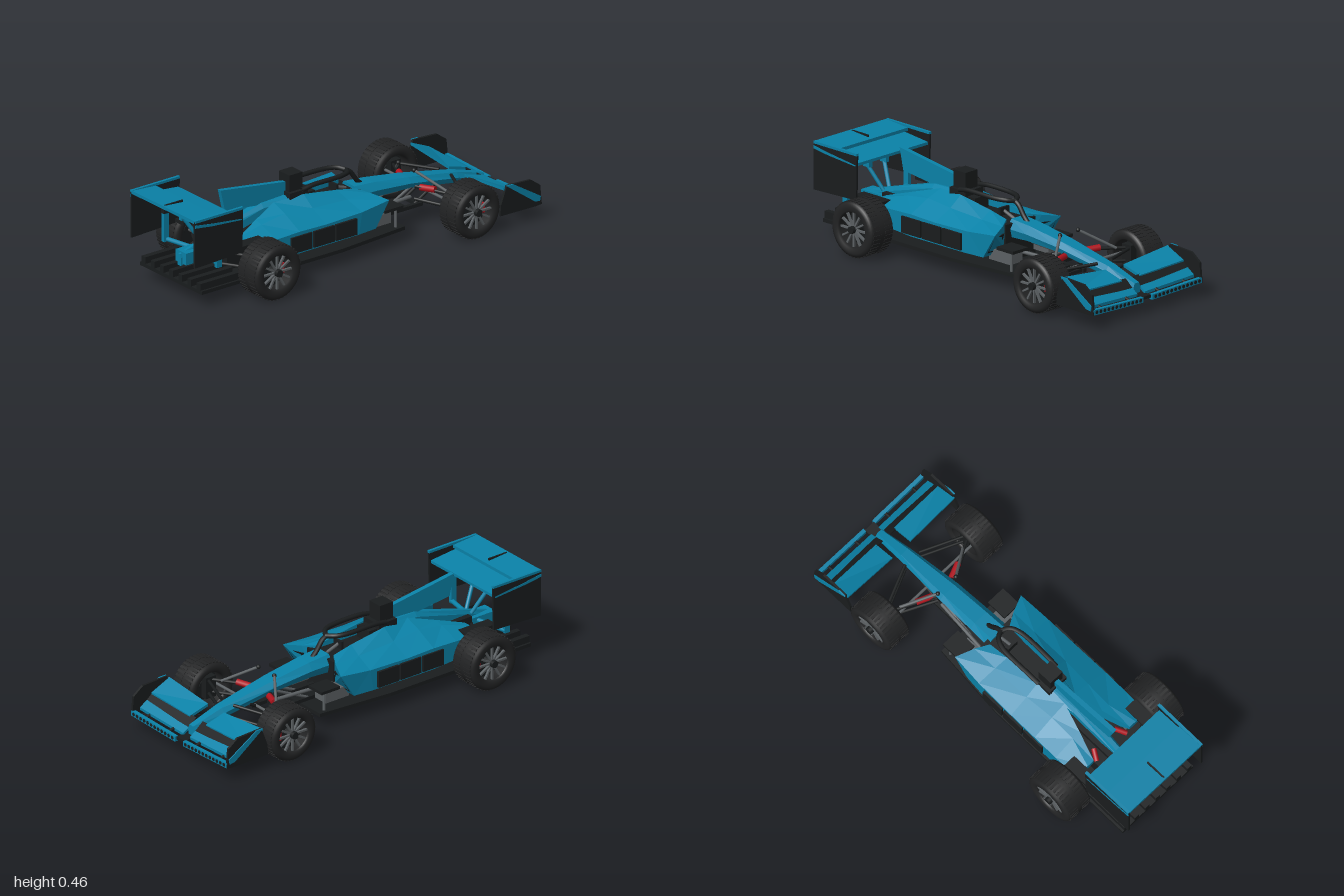
import * as THREE from 'three';
import { mergeGeometries } from 'three/addons/utils/BufferGeometryUtils.js';

const mat = (color) => new THREE.MeshStandardMaterial({ color, side: THREE.DoubleSide });
const blue = mat(0x0a82a8), black = mat(0x1a1d1e), tyreMat = mat(0x222324), grey = mat(0x5c6164), red = mat(0xb0141e);
const V = (p) => new THREE.Vector3(...p);

export function createModel() {
  const car = new THREE.Group();
  car.name = 'raceCar';
  const add = (name, geo, m, parent = car) => {
    const mesh = new THREE.Mesh(geo, m);
    mesh.name = name;
    parent.add(mesh);
    return mesh;
  };
  const sides = (fn) => [1, -1].forEach(fn);

  // Box given by its extents
  const box = (name, x0, x1, y0, y1, z0, z1, m) =>
    add(name, new THREE.BoxGeometry(Math.abs(x1 - x0), Math.abs(y1 - y0), Math.abs(z1 - z0))
      .translate((x0 + x1) / 2, (y0 + y1) / 2, (z0 + z1) / 2), m);

  // Faceted solid through rings of [x, y, z] points, turned outward by its signed volume
  const loft = (name, rings, m) => {
    const tris = [], n = rings[0].length, last = rings.length - 1;
    for (let i = 0; i < last; i++)
      for (let j = 0; j < n; j++) {
        const k = (j + 1) % n, a = rings[i], b = rings[i + 1];
        tris.push([a[j], a[k], b[k]], [a[j], b[k], b[j]]);
      }
    for (let j = 1; j < n - 1; j++)
      tris.push([rings[0][0], rings[0][j + 1], rings[0][j]], [rings[last][0], rings[last][j], rings[last][j + 1]]);
    const volume = tris.reduce((s, [a, b, c]) => s + V(a).dot(V(b).cross(V(c))), 0);
    const pos = tris.flatMap((t) => (volume < 0 ? [t[0], t[2], t[1]] : t)).flat();
    const geo = new THREE.BufferGeometry();
    geo.setAttribute('position', new THREE.Float32BufferAttribute(pos, 3));
    geo.computeVertexNormals();
    return add(name, geo, m);
  };

  // Sloped blade between two [x, y] edges, from z0 to z1; the edges rise by liftA and liftB towards z1
  const blade = (name, [xa, ya], [xb, yb], z0, z1, t, m, liftA = 0, liftB = liftA) => loft(name, [[z0, 0], [z1, 1]].map(([z, k]) =>
    [[xa, ya + k * liftA, z], [xb, yb + k * liftB, z], [xb, yb + k * liftB - t, z], [xa, ya + k * liftA - t, z]]), m);

  // Upright plate cut from a side profile
  const plate = (name, pts, z, t, m) => add(name, new THREE.ExtrudeGeometry(
    new THREE.Shape(pts.map((p) => new THREE.Vector2(...p))), { depth: t, bevelEnabled: false }).translate(0, 0, z - t / 2), m);

  const rod = (name, a, b, r, m) => {
    const d = V(b).sub(V(a));
    const mesh = add(name, new THREE.CylinderGeometry(r, r, d.length(), 10), m);
    mesh.position.copy(V(a)).addScaledVector(d, 0.5);
    mesh.quaternion.setFromUnitVectors(new THREE.Vector3(0, 1, 0), d.normalize());
    return mesh;
  };
  const tube = (name, pts, r, m) => add(name, new THREE.TubeGeometry(
    new THREE.CatmullRomCurve3(pts.map(V), false, 'centripetal'), 28, r, 8), m);

  // Wheels: tyre with shallow lugs, rim, spokes, disc and caliper
  const wheel = (name, x, s, R, z0, z1) => {
    const g = new THREE.Group(), w = (z1 - z0) / 2;
    g.name = name;
    const profile = [[0.086, -w + 0.012], [0.092, -w + 0.002], [R - 0.024, -w], [R - 0.009, -w + 0.006], [R - 0.003, -w + 0.018], [R - 0.002, 0],
      [R - 0.003, w - 0.018], [R - 0.009, w - 0.006], [R - 0.024, w], [0.092, w - 0.002], [0.086, w - 0.012], [0.086, -w + 0.012]];
    add('tyre', new THREE.LatheGeometry(profile.map((p) => new THREE.Vector2(...p)), 48).rotateX(Math.PI / 2), tyreMat, g);
    const lugs = [];
    for (let i = 0; i < 40; i++)
      sides((e) => lugs.push(new THREE.BoxGeometry(0.012, 0.006, 0.05).translate(0, R - 0.003, e * (w - 0.04))
        .rotateZ(((i + (e > 0 ? 0.5 : 0)) * Math.PI) / 20)));
    add('treadLugs', mergeGeometries(lugs), tyreMat, g);
    add('rim', new THREE.CylinderGeometry(0.087, 0.087, 2 * w - 0.024, 40, 1, true).rotateX(Math.PI / 2), grey, g);
    const spokes = [];
    for (let i = 0; i < 12; i++)
      spokes.push(new THREE.BoxGeometry(0.009, 0.07, 0.012).translate(0, 0.052, s * (w - 0.02)).rotateZ((i * Math.PI) / 6));
    add('spokes', mergeGeometries(spokes), grey, g);
    add('hub', new THREE.CylinderGeometry(0.018, 0.022, w + 0.01, 16).rotateX(s * Math.PI / 2).translate(0, 0, s * w / 2), black, g);
    add('brakeDisc', new THREE.CylinderGeometry(0.084, 0.084, 0.01, 32).rotateX(Math.PI / 2).translate(0, 0, s * 0.01), black, g);
    add('brakeCaliper', new THREE.BoxGeometry(0.016, 0.05, 0.03).translate(0.058, 0, s * 0.018), red, g);
    g.position.set(x, R, s * (z0 + z1) / 2);
    car.add(g);
  };

  // Floor and rear diffuser
  loft('floor', [[-0.95, 0.235], [-0.1, 0.235], [0.3, 0.2]].map(([x, z]) =>
    [[x, 0.068, -z], [x, 0.068, z], [x, 0.086, z], [x, 0.086, -z]]), black);
  for (let i = -3; i <= 3; i++) box('diffuserFin', -0.95, -0.7, 0.08, 0.12, i * 0.07 - 0.014, i * 0.07 + 0.014, black);
  for (const x of [0.32, 0.42, 0.5]) box('keelCrossbar', x - 0.01, x + 0.01, 0.09, 0.106, -0.06, 0.06, black);
  box('gearbox', -0.74, -0.3, 0.09, 0.22, -0.05, 0.05, black);
  box('tub', -0.3, 0.14, 0.086, 0.27, -0.1, 0.1, black);
  box('rearCrashStructure', -0.89, -0.66, 0.14, 0.2, -0.04, 0.04, blue);

  // Engine cover, fin, airbox
  loft('engineCover', [[-0.9, 0.012, 0.19], [-0.7, 0.02, 0.25], [-0.42, 0.035, 0.33], [-0.2, 0.06, 0.34]].map(([x, w, y]) =>
    [[x, y - 0.06, -w], [x, y - 0.02, -w], [x, y, -w * 0.5], [x, y, w * 0.5], [x, y - 0.02, w], [x, y - 0.06, w]]), blue);
  plate('sharkFin', [[-0.66, 0.455], [-0.27, 0.4], [-0.2, 0.4], [-0.2, 0.33], [-0.42, 0.32], [-0.635, 0.345]], 0, 0.024, blue);
  box('airbox', -0.27, -0.19, 0.35, 0.44, -0.04, 0.04, black);
  box('airboxBase', -0.28, -0.17, 0.32, 0.355, -0.058, 0.058, black);

  // Cockpit and halo
  box('seat', -0.2, -0.12, 0.26, 0.33, -0.045, 0.045, black);
  rod('steeringColumn', [0.1, 0.27, 0], [0.03, 0.295, 0], 0.008, grey);
  box('steeringWheel', 0.022, 0.034, 0.275, 0.315, -0.03, 0.03, black);
  sides((s) => tube('haloArm', [[-0.21, 0.358, s * 0.06], [-0.15, 0.368, s * 0.062], [0.03, 0.368, s * 0.058], [0.08, 0.366, s * 0.038], [0.105, 0.36, 0]], 0.012, black));
  tube('haloPillar', [[0.09, 0.364, 0], [0.125, 0.347, 0], [0.165, 0.295, 0], [0.21, 0.25, 0]], 0.012, black);

  // Nose with a flat-topped section
  loft('nose', [[0.12, 0.285, 0.2, 0.07], [0.24, 0.275, 0.205, 0.066], [0.45, 0.245, 0.195, 0.06], [0.75, 0.19, 0.14, 0.038], [0.92, 0.14, 0.09, 0.024]]
    .map(([x, t, b, w]) => [[x, b, -w * 0.85], [x, t - (t - b) * 0.5, -w], [x, t, -w * 0.6], [x, t, w * 0.6], [x, t - (t - b) * 0.5, w], [x, b, w * 0.85]]), blue);
  box('noseTip', 0.9, 0.985, 0.075, 0.09, -0.03, 0.03, black);

  sides((s) => {
    // Sidepod: inner top, shoulder, outer edge, lower edge; the front edge sweeps forward towards the outside
    const pod = [[-0.64, -0.64, -0.64, 0.12, 0.245, 0.16, 0.245, 0.232, 0.228, 0.215], [-0.5, -0.5, -0.5, 0.075, 0.285, 0.12, 0.275, 0.235, 0.235, 0.14],
      [-0.36, -0.36, -0.36, 0.035, 0.325, 0.12, 0.295, 0.235, 0.24, 0.13], [-0.2, -0.2, -0.2, 0.06, 0.335, 0.13, 0.285, 0.233, 0.235, 0.13],
      [0.0, 0.02, 0, 0.06, 0.305, 0.13, 0.275, 0.23, 0.24, 0.13], [0.11, 0.19, 0.11, 0.065, 0.285, 0.13, 0.272, 0.22, 0.255, 0.13]];
    loft('sidepod', pod.map(([xi, xo, xb, z1, y1, z2, y2, z3, y3, yb]) => [[xb, yb, s * z1], [xi, y1, s * z1],
      [(xi + xo) / 2, y2, s * z2], [xo, y3, s * z3], [xb, yb, s * z3]]), blue);
    loft('sidepodInlet', [[0.12, 0], [0.205, 0.025]].map(([z, d]) => [[0.11, 0.15, s * z], [0.138 + d, 0.235, s * z], [0.152 + d, 0.235, s * z], [0.125, 0.15, s * z]]), black);
    for (let i = 0; i < 3; i++) box('sidePanel', -0.415 + i * 0.135, -0.29 + i * 0.135, 0.14, 0.222, s * 0.2, s * 0.244, black);
    box('wheelDeflector', -0.74, -0.56, 0.235, 0.252, s * 0.17, s * 0.235, black);
    box('engineSide', -0.7, -0.42, 0.09, 0.19, s * 0.05, s * 0.11, black);
    box('bargeboard', 0.18, 0.29, 0.18, 0.195, s * 0.1, s * 0.2, black);
    box('radiatorBlock', 0.1, 0.24, 0.11, 0.165, s * 0.085, s * 0.17, grey);
    rod('bargeboardStay', [0.26, 0.08, s * 0.18], [0.26, 0.19, s * 0.18], 0.007, grey);
    box('keelBeam', 0.1, 0.52, 0.09, 0.108, s * 0.04, s * 0.06, black);
    rod('chassisTube', [0.1, 0.15, s * 0.08], [0.45, 0.15, s * 0.05], 0.009, grey);
    rod('chassisBrace', [0.25, 0.1, s * 0.05], [0.46, 0.2, s * 0.045], 0.007, grey);
    rod('keelBrace', [0.48, 0.1, s * 0.04], [0.6, 0.17, s * 0.04], 0.008, black);

    // Front suspension
    for (const y of [0.115, 0.18])
      for (const x of [0.48, 0.7]) rod('frontWishbone', [x, y + 0.015, s * 0.045], [0.6, y, s * 0.28], 0.008, black);
    rod('frontPushrod', [0.465, 0.285, s * 0.06], [0.57, 0.185, s * 0.21], 0.007, grey);
    add('pushrodBall', new THREE.SphereGeometry(0.011, 12, 8).translate(0.465, 0.285, s * 0.06), black);
    rod('frontSpring', [0.5, 0.19, s * 0.065], [0.53, 0.195, s * 0.14], 0.016, red);
    rod('steeringArm', [0.56, 0.15, s * 0.03], [0.56, 0.15, s * 0.28], 0.007, grey);
    box('frontUpright', 0.57, 0.63, 0.09, 0.2, s * 0.25, s * 0.285, black);

    // Rear suspension
    for (const y of [0.12, 0.18])
      for (const x of [-0.74, -0.48]) rod('rearWishbone', [x, y, s * 0.045], [-0.6, y, s * 0.28], 0.008, black);
    rod('driveShaft', [-0.6, 0.14, s * 0.04], [-0.6, 0.14, s * 0.3], 0.011, grey);
    rod('rearSpring', [-0.59, 0.22, s * 0.07], [-0.64, 0.2, s * 0.1], 0.013, red);
    wheel('frontWheel', 0.6, s, 0.136, 0.24, 0.385);
    wheel('rearWheel', -0.605, s, 0.14, 0.235, 0.39);

    // Front wing, its flap rising towards the end plate
    blade('frontWingFlap', [0.77, 0.185], [0.88, 0.155], s * 0.06, s * 0.355, 0.014, blue, 0.028, 0.01);
    blade('frontWingMiddle', [0.87, 0.157], [0.915, 0.12], s * 0.025, s * 0.355, 0.012, black, 0.008);
    blade('frontWingMain', [0.905, 0.126], [0.948, 0.098], s * 0.025, s * 0.355, 0.014, blue, 0.01);
    blade('frontWingBar', [0.976, 0.092], [0.995, 0.092], s * 0.03, s * 0.36, 0.026, blue, 0.01);
    for (let i = 0; i < 12; i++) {
      const z = 0.05 + i * 0.0265, y = 0.08 + i * 0.0008;
      rod('barHole', [0.99, y, s * z], [0.997, y, s * z], 0.009, black);
    }
    for (const z of [0.1, 0.28]) rod('barMount', [0.92, 0.1, s * z], [0.98, 0.085, s * z], 0.008, black);
    plate('frontEndPlate', [[0.745, 0.075], [0.96, 0.072], [0.995, 0.075], [0.985, 0.175], [0.93, 0.215], [0.785, 0.222], [0.75, 0.13]], s * 0.358, 0.012, black);
    plate('endPlateStrip', [[0.78, 0.222], [0.82, 0.222], [0.985, 0.12], [0.98, 0.095], [0.95, 0.1]], s * 0.365, 0.008, blue);

    // Rear wing: two stacked, overlapping elements with a slot between
    blade('rearWingUpper', [-1, 0.461], [-0.855, 0.45], 0, s * 0.24, 0.016, blue);
    blade('rearWingLower', [-0.885, 0.426], [-0.72, 0.41], 0, s * 0.24, 0.014, blue);
    plate('rearEndPlate', [[-1, 0.22], [-0.715, 0.23], [-0.71, 0.452], [-1, 0.455]], s * 0.242, 0.01, black);
    plate('endPlateTrim', [[-1, 0.425], [-0.9, 0.412], [-0.72, 0.398], [-0.72, 0.404], [-0.9, 0.425], [-1, 0.44]], s * 0.246, 0.006, blue);
    box('endPlateCap', -1, -0.71, 0.45, 0.462, s * 0.235, s * 0.249, blue);
    box('rearWingPost', -0.84, -0.81, 0.17, 0.412, s * 0.192, s * 0.213, blue);
    box('postClamp', -0.842, -0.808, 0.315, 0.338, s * 0.19, s * 0.215, black);
    rod('postFoot', [-0.82, 0.18, s * 0.205], [-0.78, 0.18, 0], 0.012, blue);
    box('rearWingBracket', -0.85, -0.81, 0.33, 0.41, s * 0.045, s * 0.066, blue);
    rod('bracketStay', [-0.83, 0.335, s * 0.055], [-0.76, 0.22, s * 0.02], 0.01, blue);
  });
  box('rearWingSeam', -0.99, -0.88, 0.445, 0.462, -0.004, 0.004, black);
  return car;
}
